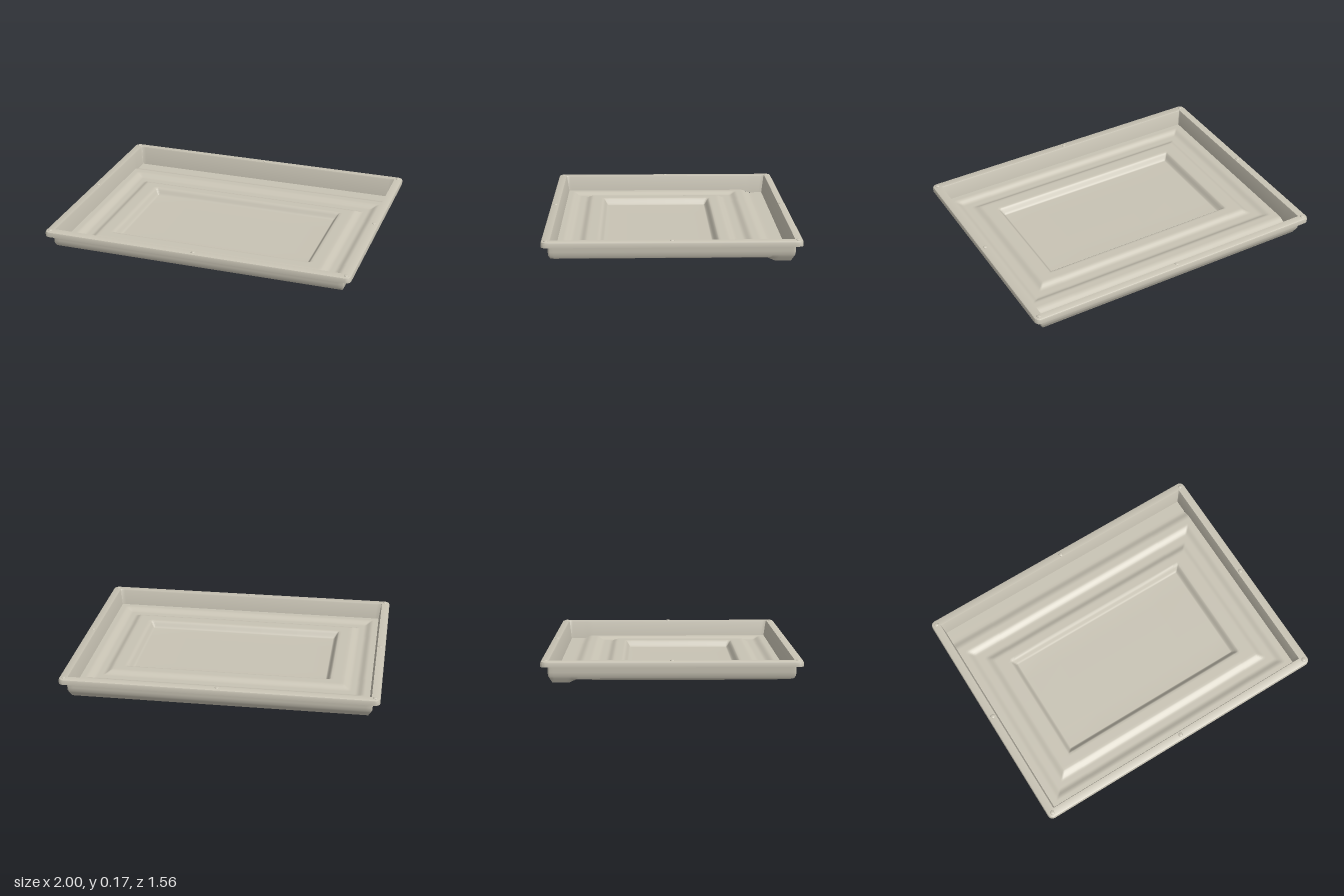
import * as THREE from 'three';
import { toCreasedNormals } from 'three/addons/utils/BufferGeometryUtils.js';

const THICK = 0.01;
// Floor outline
const FLOOR_X = 0.93, FLOOR_BACK = -0.715, FLOOR_FRONT = 0.708;

// 0 outside a rectangle, easing to 1 once `width` inside it
function inside(x, z, hx, back, front, width) {
  const d = Math.min(hx - Math.abs(x), z - back, front - z);
  return THREE.MathUtils.smoothstep(d, 0, width);
}

// Height of the underside of the pressed floor
function floorHeight(x, z) {
  return 0.045
    - 0.02 * (1 - THREE.MathUtils.smoothstep(z, -0.625, -0.565)) // back gutter
    - 0.02 * inside(x, z, 0.89, -0.52, 0.67, 0.05)               // ring channel
    + 0.02 * inside(x, z, 0.80, -0.42, 0.575, 0.05)              // raised ring
    - 0.045 * inside(x, z, 0.67, -0.31, 0.45, 0.04);             // sunken centre
}

function subdivide(stops, n) {
  const out = [stops[0]];
  for (let i = 1; i < stops.length; i++)
    for (let k = 1; k <= n; k++) out.push(THREE.MathUtils.lerp(stops[i - 1], stops[i], k / n));
  return out;
}

function makeGeometry(positions, indices) {
  const g = new THREE.BufferGeometry();
  g.setAttribute('position', new THREE.Float32BufferAttribute(positions, 3));
  g.setIndex(indices);
  g.computeVertexNormals();
  return g;
}

// One skin of the floor, facing up or down
function floorSkin(lift, up) {
  const xs = subdivide([-0.93, -0.89, -0.84, -0.8, -0.75, -0.67, -0.63,
    0.63, 0.67, 0.75, 0.8, 0.84, 0.89, 0.93], 5);
  const zs = subdivide([FLOOR_BACK, -0.625, -0.565, -0.52, -0.47, -0.42, -0.37, -0.31, -0.27,
    0.41, 0.45, 0.525, 0.575, 0.62, 0.67, FLOOR_FRONT], 5);
  const pos = [], idx = [], n = zs.length;
  for (const x of xs) for (const z of zs) pos.push(x, floorHeight(x, z) + lift, z);
  for (let i = 0; i < xs.length - 1; i++) {
    for (let j = 0; j < n - 1; j++) {
      const a = i * n + j, b = a + 1, c = a + n, d = c + 1;
      if (up) idx.push(a, b, c, b, d, c);
      else idx.push(a, c, b, b, c, d);
    }
  }
  return makeGeometry(pos, idx);
}

// Rounded rectangle of points, sides subdivided
function rectLoop(hx, back, front, r) {
  const corners = [[hx - r, front - r], [-hx + r, front - r], [-hx + r, back + r], [hx - r, back + r]];
  const arcs = corners.map(([cx, cz], q) => {
    const arc = [];
    for (let k = 0; k <= 5; k++) {
      const t = (q + k / 5) * Math.PI / 2;
      arc.push([cx + r * Math.cos(t), cz + r * Math.sin(t)]);
    }
    return arc;
  });
  const pts = [], n = 70;
  arcs.forEach((arc, q) => {
    pts.push(...arc);
    const p = arc[5], e = arcs[(q + 1) % 4][0];
    for (let k = 1; k < n; k++) pts.push([p[0] + (e[0] - p[0]) * k / n, p[1] + (e[1] - p[1]) * k / n]);
  });
  return pts;
}

// Skin through rectangular sections [halfX, back, front, cornerRadius, y];
// y may be a function so an edge can follow the floor
function loft(sections) {
  const pos = [], idx = [];
  let n = 0;
  for (const [hx, back, front, r, y] of sections) {
    const pts = rectLoop(hx, back, front, r);
    n = pts.length;
    for (const [x, z] of pts) pos.push(x, typeof y === 'function' ? y(x, z) : y, z);
  }
  for (let i = 0; i < sections.length - 1; i++) {
    for (let j = 0; j < n; j++) {
      const a = i * n + j, b = i * n + (j + 1) % n, c = a + n, d = b + n;
      idx.push(a, c, b, b, c, d);
    }
  }
  return toCreasedNormals(makeGeometry(pos, idx), 0.6);
}

export function createModel() {
  const group = new THREE.Group();
  group.name = 'tray';
  const beige = new THREE.MeshStandardMaterial({ color: 0xc8c3b4 });
  beige.name = 'warm grey plastic';
  const add = (name, geometry) => {
    const mesh = new THREE.Mesh(geometry, beige);
    mesh.name = name;
    group.add(mesh);
    return mesh;
  };

  // Pressed floor
  add('floorTop', floorSkin(THICK, true));
  add('floorUnderside', floorSkin(0, false));

  // Outer wall with its lower chamfer
  add('outerWall', loft([
    [FLOOR_X, FLOOR_BACK, FLOOR_FRONT, 0.001, floorHeight],
    [0.945, -0.73, 0.728, 0.008, 0.051],
    [0.953, -0.74, 0.739, 0.012, 0.068],
    [0.955, -0.742, 0.741, 0.014, 0.09],
    [0.956, -0.743, 0.742, 0.014, 0.153],
  ]));

  // Rolled rim with a hollow lip
  add('rim', loft([
    [0.956, -0.743, 0.742, 0.014, 0.153],
    [0.99, -0.775, 0.772, 0.025, 0.153],
    [0.99, -0.775, 0.772, 0.025, 0.128],
    [1, -0.783, 0.781, 0.032, 0.128],
    [1, -0.783, 0.781, 0.032, 0.152],
    [0.997, -0.78, 0.778, 0.03, 0.159],
    [0.99, -0.773, 0.771, 0.025, 0.163],
    [0.947, -0.735, 0.728, 0.004, 0.163],
  ]));

  // Inner wall, tapering down to the floor
  add('innerWall', loft([
    [0.947, -0.735, 0.728, 0.004, 0.163],
    [0.944, -0.731, 0.724, 0.003, 0.155],
    [FLOOR_X, FLOOR_BACK, FLOOR_FRONT, 0.001, (x, z) => floorHeight(x, z) + THICK],
  ]));

  // Stacking nubs on the rim
  const nub = new THREE.SphereGeometry(0.014, 16, 6, 0, Math.PI * 2, 0, Math.PI / 2);
  for (const x of [-0.968, 0, 0.968]) {
    for (const z of [-0.75, 0, 0.75]) {
      if (x === 0 && z === 0) continue;
      const mesh = add('stackingNub', nub);
      mesh.position.set(x, 0.163, z);
      mesh.scale.y = 0.4;
    }
  }
  return group;
}
